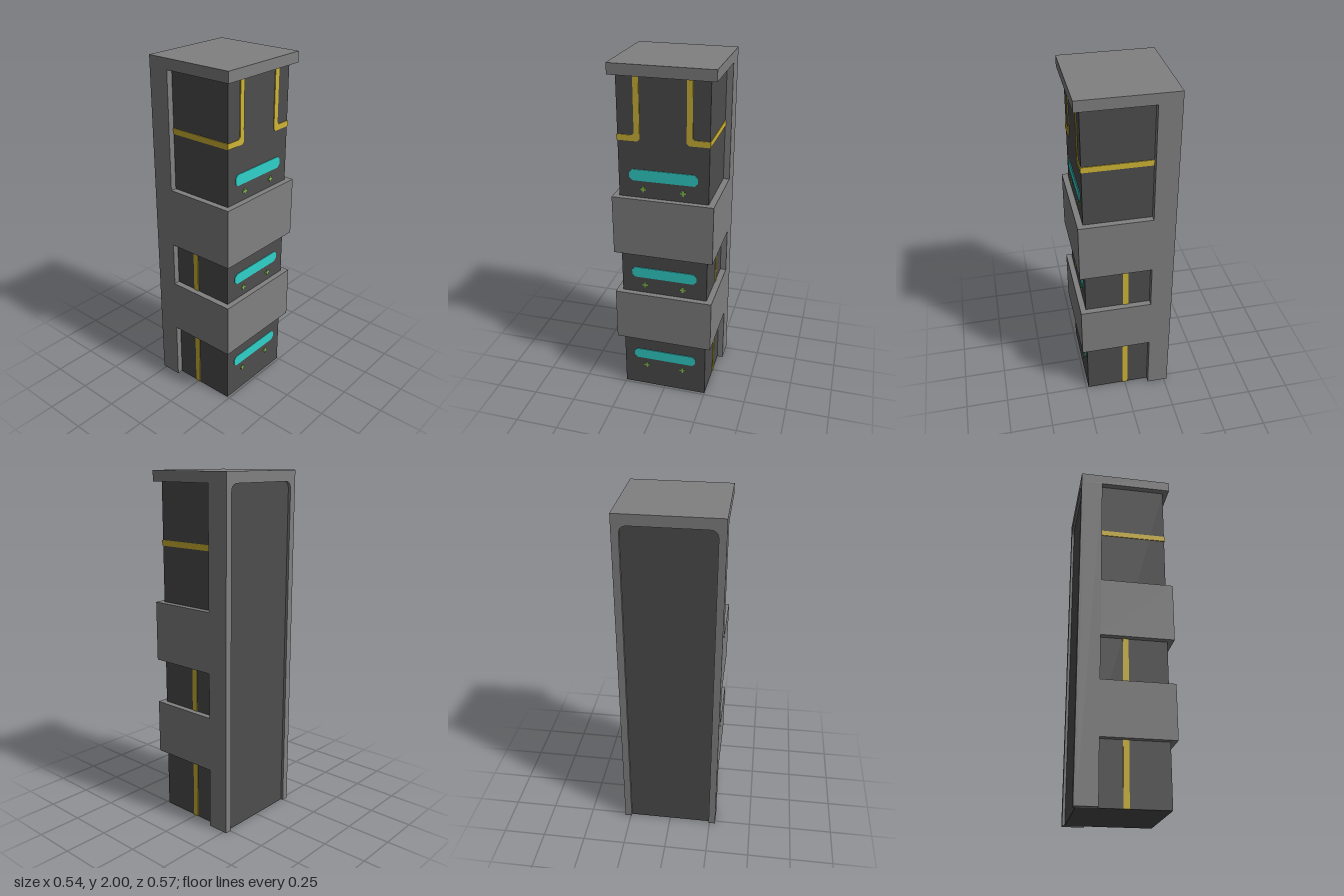
import * as THREE from 'three';

const paint = (name, color) => {
  const m = new THREE.MeshStandardMaterial({ color });
  m.name = name;
  return m;
};

export function createModel() {
  const grey = paint('shell grey', 0x808080);
  const dark = paint('core dark grey', 0x4d4d4d);
  const gold = paint('stripe gold', 0xd0b636);
  const cyan = paint('light cyan', 0x30d2cb);
  const green = paint('indicator green', 0x86c450);

  const model = new THREE.Group();
  model.name = 'tower';

  const add = (name, geometry, material) => {
    const mesh = new THREE.Mesh(geometry, material);
    mesh.name = name;
    model.add(mesh);
    return mesh;
  };
  // Box given by its lower and upper corners
  const box = (name, material, x0, x1, y0, y1, z0, z1) =>
    add(name, new THREE.BoxGeometry(x1 - x0, y1 - y0, z1 - z0), material)
      .position.set((x0 + x1) / 2, (y0 + y1) / 2, (z0 + z1) / 2);

  const coreX = 0.235, coreZ = 0.25, shellX = 0.268, shellZ = 0.285, pierX = -0.145;
  const t = 0.004; // thickness of painted plates

  // Dark core
  box('core', dark, -0.255, coreX, 0, 1.95, -coreZ, coreZ);

  // Shell bands wrapping the core, and the roof slab
  box('lowerBand', grey, pierX, shellX, 0.353, 0.667, -shellZ, shellZ);
  box('upperBand', grey, pierX, shellX, 0.927, 1.27, -shellZ, shellZ);
  box('roof', grey, -0.255, shellX, 1.94, 2, -shellZ, shellZ);

  // Side piers of the shell
  for (const s of [1, -1]) {
    const a = s * 0.245, b = s * shellZ;
    box('pier', grey, -0.255, pierX, 0, 1.94, Math.min(a, b), Math.max(a, b));
  }

  // Frame with rounded top corners around the recessed outer panel, open at the foot
  const w = 0.245, top = 1.94, r = 0.045;
  const frame = new THREE.Shape();
  frame.moveTo(-shellZ, 0);
  frame.lineTo(-w, 0);
  frame.lineTo(-w, top - r);
  frame.quadraticCurveTo(-w, top, -w + r, top);
  frame.lineTo(w - r, top);
  frame.quadraticCurveTo(w, top, w, top - r);
  frame.lineTo(w, 0);
  frame.lineTo(shellZ, 0);
  frame.lineTo(shellZ, 2);
  frame.lineTo(-shellZ, 2);
  const frameGeometry = new THREE.ExtrudeGeometry(frame, { depth: 0.015, bevelEnabled: false, curveSegments: 5 });
  frameGeometry.rotateY(-Math.PI / 2);
  add('panelFrame', frameGeometry, grey).position.x = -0.255;

  // Gold stripes on the front and back
  for (const s of [1, -1]) {
    const z0 = s > 0 ? coreZ : -coreZ - t, z1 = z0 + t;
    box('horizontalStripe', gold, pierX, coreX + t, 1.59, 1.622, z0, z1);
    box('lowerStripe', gold, -0.017, 0.015, 0, 0.353, z0, z1);
    box('middleStripe', gold, -0.017, 0.015, 0.667, 0.927, z0, z1);
  }

  // Flat plate on the +x face, drawn in (z, y) with u running towards -z
  const plate = (name, material, shape) => {
    const g = new THREE.ExtrudeGeometry(shape, { depth: t, bevelEnabled: false, curveSegments: 6 });
    g.rotateY(Math.PI / 2);
    add(name, g, material).position.x = coreX;
  };
  const polygon = (points) => new THREE.Shape(points.map(([u, y]) => new THREE.Vector2(u, y)));

  // Bent stripes under the roof
  for (const s of [1, -1]) {
    plate('bentStripe', gold, polygon([
      [0.25, 1.59], [0.14, 1.59], [0.127, 1.603], [0.127, 1.94],
      [0.158, 1.94], [0.158, 1.634], [0.146 + 0.024, 1.622], [0.25, 1.622],
    ].map(([u, y]) => [s * u, y])));
  }

  // Light bars with two indicators below each
  for (const y of [1.4, 0.798, 0.225]) {
    const h = 0.032, l = 0.19, c = 0.018;
    plate('lightBar', cyan, polygon([
      [-l + c, y - h], [l - c, y - h], [l, y - h + c], [l, y + h - c],
      [l - c, y + h], [-l + c, y + h], [-l, y + h - c], [-l, y - h + c],
    ]));
    for (const z of [0.113, -0.11]) {
      const iy = y - 0.08, a = 0.016, b = 0.005;
      plate('indicator', green, polygon([
        [-a, -b], [-b, -b], [-b, -a], [b, -a], [b, -b], [a, -b],
        [a, b], [b, b], [b, a], [-b, a], [-b, b], [-a, b],
      ].map(([u, v]) => [u - z, v + iy])));
    }
  }

  return model;
}
